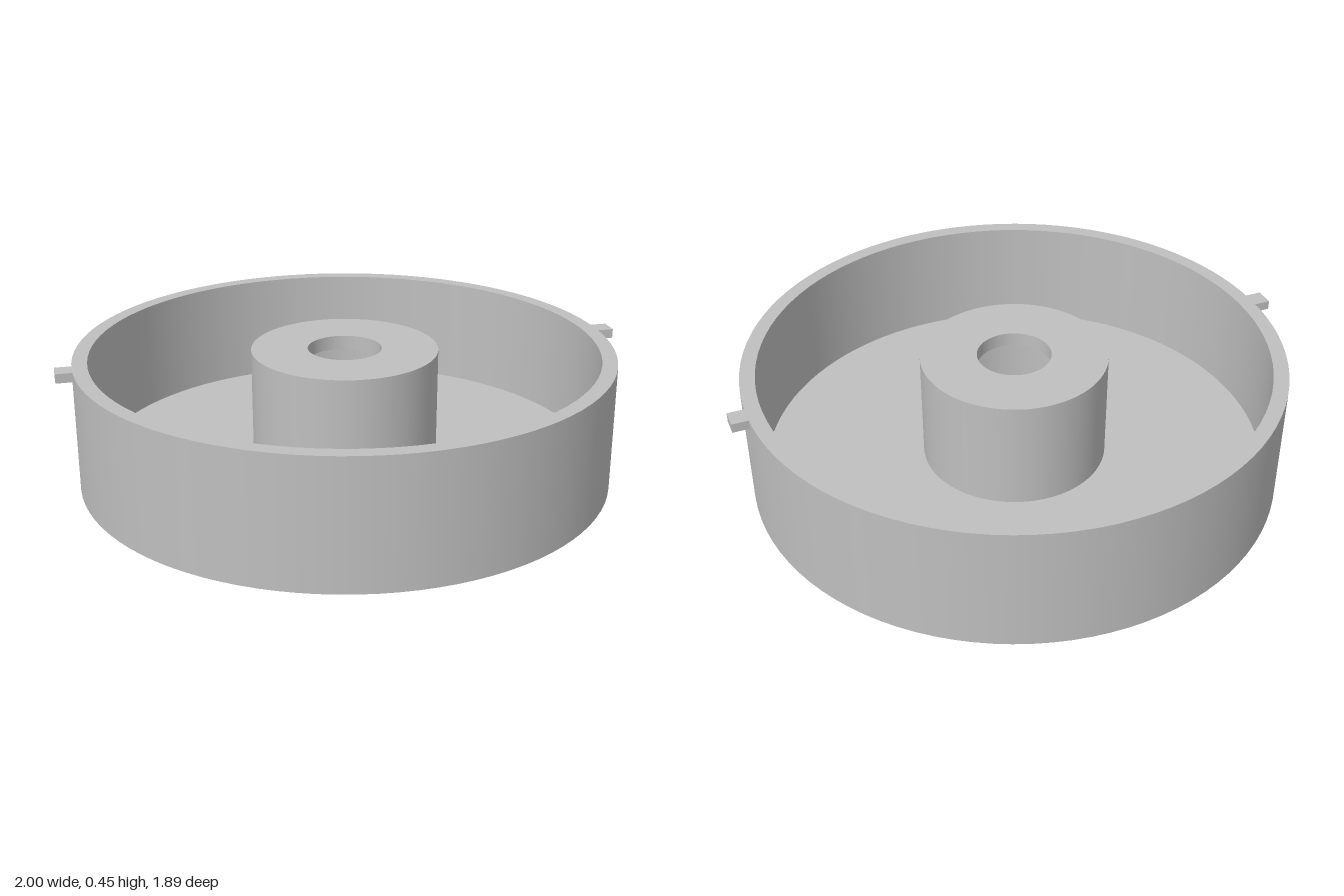
import * as THREE from 'three';

const SEGMENTS = 96;

export function createModel() {
  const model = new THREE.Group();
  model.name = 'roundHousing';
  const grey = new THREE.MeshStandardMaterial({ color: 0xbfbfbf });
  grey.name = 'plain grey';

  const height = 0.45, floorTop = 0.055, capBottom = 0.4;
  const outer = 0.943, inner = 0.89;
  const bossOuter = 0.328, bossInner = 0.275, hole = 0.13;

  // Each straight run of the profile is its own lathe, so the edges stay crisp
  function addBand(name, from, to) {
    const points = [new THREE.Vector2(...from), new THREE.Vector2(...to)];
    const mesh = new THREE.Mesh(new THREE.LatheGeometry(points, SEGMENTS), grey);
    mesh.name = name;
    model.add(mesh);
  }

  // Closed cross-section: underside, outer wall, tray, hollow boss
  const profile = [
    ['underside', bossInner, 0],
    ['outerWall', outer, 0],
    ['rim', outer, height],
    ['innerWall', inner, height],
    ['trayFloor', inner, floorTop],
    ['bossWall', bossOuter, floorTop],
    ['bossTop', bossOuter, height],
    ['topHole', hole, height],
    ['bossCeiling', hole, capBottom],
    ['bossBore', bossInner, capBottom],
  ];
  profile.forEach(([name, r, y], i) => {
    const [, nextR, nextY] = profile[(i + 1) % profile.length];
    addBand(name, [r, y], [nextR, nextY]);
  });

  // Small locating tabs on both sides of the rim
  const tabHeight = 0.033, tabStart = 0.93;
  for (const [name, side] of [['leftTab', 1], ['rightTab', -1]]) {
    const tab = new THREE.Mesh(new THREE.BoxGeometry(1 - tabStart, tabHeight, 0.067), grey);
    tab.name = name;
    tab.position.set(side * (1 + tabStart) / 2, height - tabHeight / 2, 0);
    model.add(tab);
  }

  return model;
}
